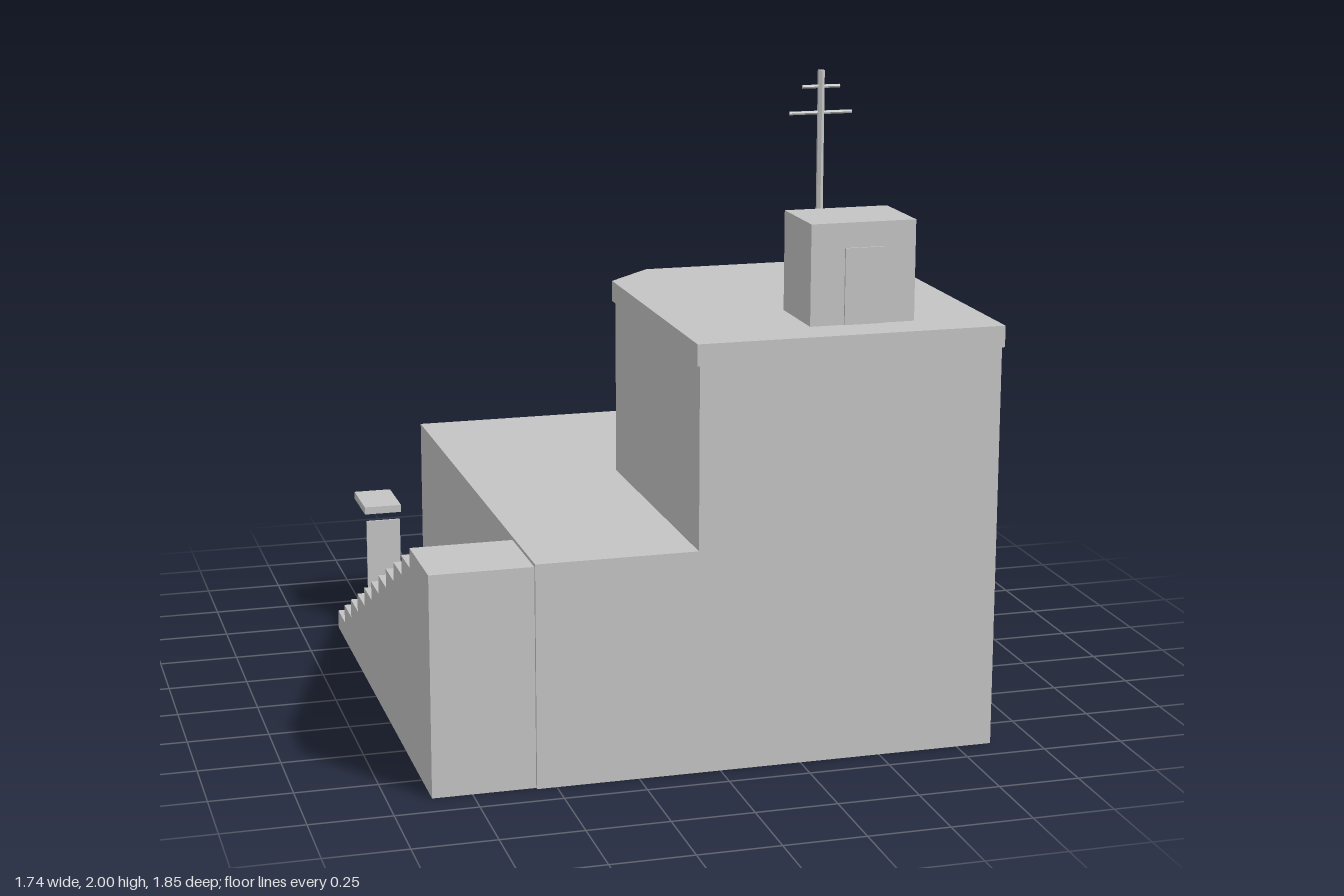
import * as THREE from 'three';

export function createModel() {
  const model = new THREE.Group();
  model.name = 'stairHouse';
  const plaster = new THREE.MeshStandardMaterial({ color: 0xc4c4c4, flatShading: true });
  plaster.name = 'plasterGrey';

  function add(name, geometry, parent = model) {
    const mesh = new THREE.Mesh(geometry, plaster);
    mesh.name = name;
    parent.add(mesh);
    return mesh;
  }

  // Box given by its two opposite corners
  function block(name, x0, x1, y0, y1, z0, z1, parent = model) {
    const mesh = add(name, new THREE.BoxGeometry(x1 - x0, y1 - y0, z1 - z0), parent);
    mesh.position.set((x0 + x1) / 2, (y0 + y1) / 2, (z0 + z1) / 2);
    return mesh;
  }

  const outline = (points) => new THREE.Shape(points.map(([x, y]) => new THREE.Vector2(x, y)));
  const rectPoints = (x0, x1, y0, y1) => [[x0, y0], [x1, y0], [x1, y1], [x0, y1]];
  const extrude = (shape, depth) => new THREE.ExtrudeGeometry(shape, { depth, bevelEnabled: false });

  // Upright prism from a floor plan in (x, z)
  function prism(name, plan, y0, y1) {
    const geometry = extrude(outline(plan), y1 - y0);
    geometry.rotateX(Math.PI / 2);
    add(name, geometry).position.y = y1;
  }

  // Window surround standing proud of a back wall at z
  function windowFrame(name, x0, x1, y0, y1, z, bar) {
    const shape = outline(rectPoints(x0, x1, y0, y1));
    shape.holes.push(outline(rectPoints(x0 + bar, x1 - bar, y0 + bar, y1 - bar)));
    add(name, extrude(shape, 0.035)).position.z = z - 0.035;
  }

  // Ground floor: solid mass plus a back wall with door and window openings
  block('groundFloor', -0.56, 0.86, 0, 0.685, -0.735, 0.91);
  const wall = outline([
    [-0.56, 0], [0.3, 0], [0.3, 0.45], [0.72, 0.45], [0.72, 0], [0.86, 0], [0.86, 0.685], [-0.56, 0.685],
  ]);
  wall.holes.push(outline(rectPoints(-0.335, -0.105, 0.23, 0.43)));
  add('groundFloorBackWall', extrude(wall, 0.045)).position.z = -0.78;
  windowFrame('groundFloorWindowFrame', -0.365, -0.075, 0.2, 0.46, -0.78, 0.03);

  // Upper floor with a cut corner; the middle band is notched for the window
  const corner = [[-0.07, 0.91], [-0.07, -0.025], [0.08, -0.17]];
  const notch = [[0.325, -0.17], [0.325, -0.125], [0.68, -0.125], [0.68, -0.17]];
  const rest = [[0.86, -0.17], [0.86, 0.91]];
  prism('upperFloorBelowWindow', [...corner, ...rest], 0.685, 0.87);
  prism('upperFloorAtWindow', [...corner, ...notch, ...rest], 0.87, 1.06);
  prism('upperFloorAboveWindow', [...corner, ...rest], 1.06, 1.24);
  windowFrame('upperFloorWindowFrame', 0.295, 0.71, 0.84, 1.09, -0.17, 0.03);
  prism('roofSlab', [[-0.08, 0.92], [-0.08, -0.03], [0.075, -0.185], [0.865, -0.185], [0.865, 0.92]], 1.24, 1.305);

  // Outside stairs, rising towards the front: one stepped profile in (z, y)
  const steps = 11, tread = 0.134, riser = 0.675 / steps, startZ = -0.72;
  const profile = [[0.9, 0], [startZ, 0]];
  for (let i = 0; i < steps; i++) {
    const z = startZ + i * tread;
    profile.push([z, (i + 1) * riser]);
    profile.push([i === steps - 1 ? 0.9 : z + tread, (i + 1) * riser]);
  }
  const stairs = extrude(outline(profile), 0.31);
  stairs.rotateY(-Math.PI / 2);
  add('stairs', stairs).position.x = -0.56;

  // Post and shelf at the foot of the stairs
  block('stairPost', -0.765, -0.65, 0.04, 0.37, -0.727, -0.719);
  block('stairShelf', -0.77, -0.645, 0.395, 0.42, -0.925, -0.72);

  // Roof hut with a door and a small lamp hood
  block('roofHut', 0.305, 0.63, 1.305, 1.61, 0.535, 0.783);
  block('roofHutDoor', 0.41, 0.53, 1.305, 1.535, 0.78, 0.789);
  const hood = add('lampHood', new THREE.ConeGeometry(0.075, 0.03, 8));
  hood.rotation.y = 0;
  hood.scale.z = 0.73;
  hood.position.set(0.465, 1.455, 0.536);

  // Roof vent box with a hexagonal cap
  block('ventBox', 0.5, 0.7, 1.305, 1.395, 0.155, 0.275);
  const cap = new THREE.CylinderGeometry(0.035, 0.035, 0.012, 6);
  cap.rotateY(Math.PI / 6);
  add('ventCap', cap).position.set(0.55, 1.401, 0.21);

  // Antenna mast with two crossbars
  const antenna = new THREE.Group();
  antenna.name = 'antenna';
  antenna.position.set(0.485, 0, 0.33);
  model.add(antenna);
  add('antennaMast', new THREE.CylinderGeometry(0.011, 0.011, 0.695, 6), antenna).position.y = 1.6525;
  for (const [y, length] of [[1.87, 0.2], [1.95, 0.12]]) {
    const bar = new THREE.CylinderGeometry(0.006, 0.006, length, 6);
    bar.rotateZ(Math.PI / 2);
    add('antennaBar', bar, antenna).position.y = y;
  }

  return model;
}
